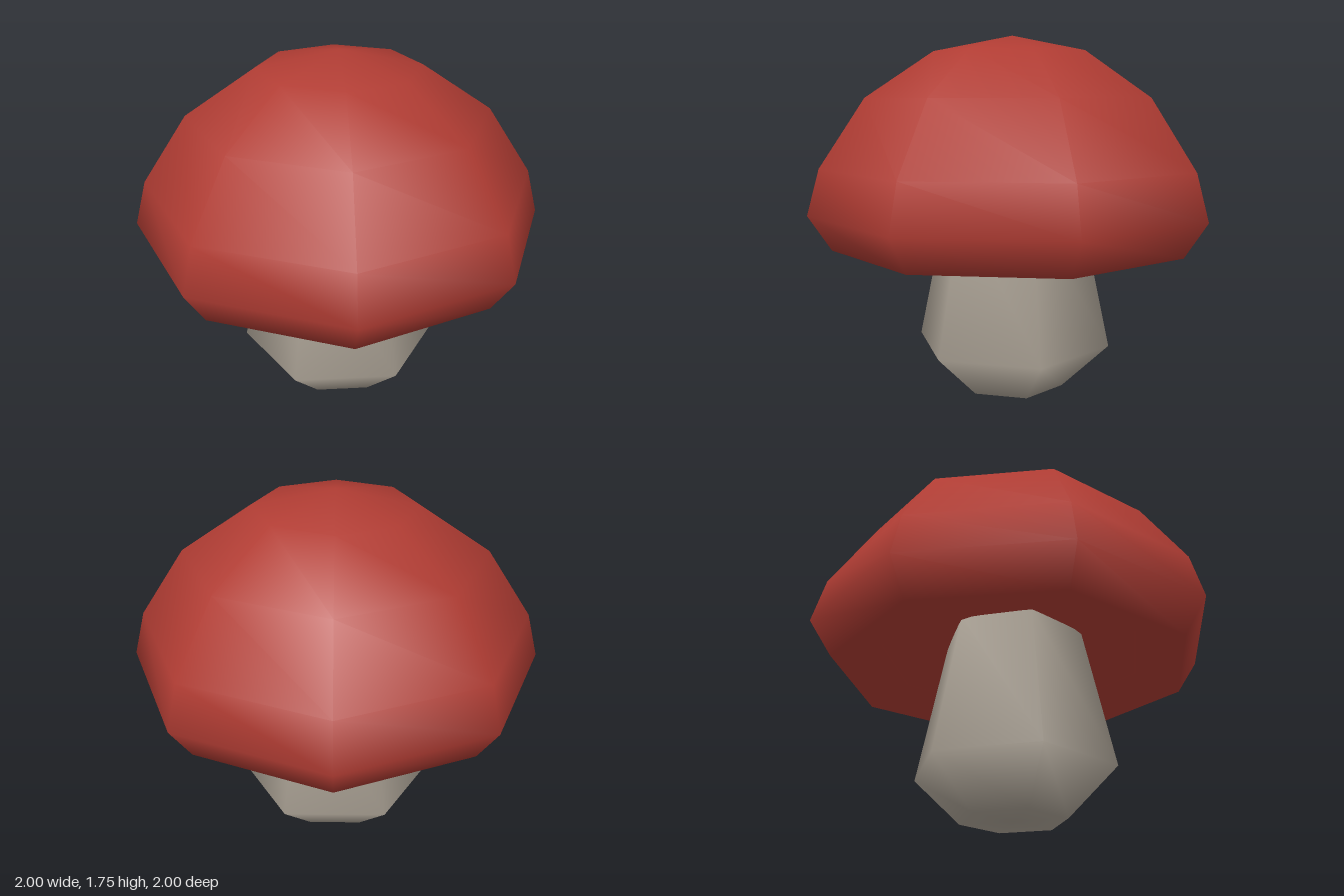
import * as THREE from 'three';
import { mergeVertices } from 'three/addons/utils/BufferGeometryUtils.js';

// Turned form with few sides, welded so the shading runs smoothly over seam and poles
function turned(name, profile, sides, phase, material) {
  const points = profile.map(([r, y]) => new THREE.Vector2(r, y));
  const lathe = new THREE.LatheGeometry(points, sides, phase);
  lathe.deleteAttribute('normal');
  lathe.deleteAttribute('uv');
  const geometry = mergeVertices(lathe, 1e-4);
  geometry.computeVertexNormals();
  const mesh = new THREE.Mesh(geometry, material);
  mesh.name = name;
  return mesh;
}

export function createModel() {
  const capRed = new THREE.MeshStandardMaterial({ color: 0xb03c33 });
  capRed.name = 'cap red';
  const stemGrey = new THREE.MeshStandardMaterial({ color: 0xaca396 });
  stemGrey.name = 'stem grey';

  const group = new THREE.Group();
  group.name = 'mushroom';

  // Eight-sided cap: hollow underside, rim, then dome
  group.add(turned('cap', [
    [0, 0.94], [0.34, 0.92], [0.65, 0.81], [0.89, 0.73],
    [1, 0.9], [0.94, 1.12], [0.72, 1.45], [0.39, 1.67], [0, 1.75],
  ], 8, 0, capRed));

  // Six-sided stem with a bulging foot, corners on the x axis
  group.add(turned('stem', [
    [0, 0], [0.26, 0], [0.495, 0.225], [0.345, 0.925],
  ], 6, Math.PI / 2, stemGrey));

  return group;
}
